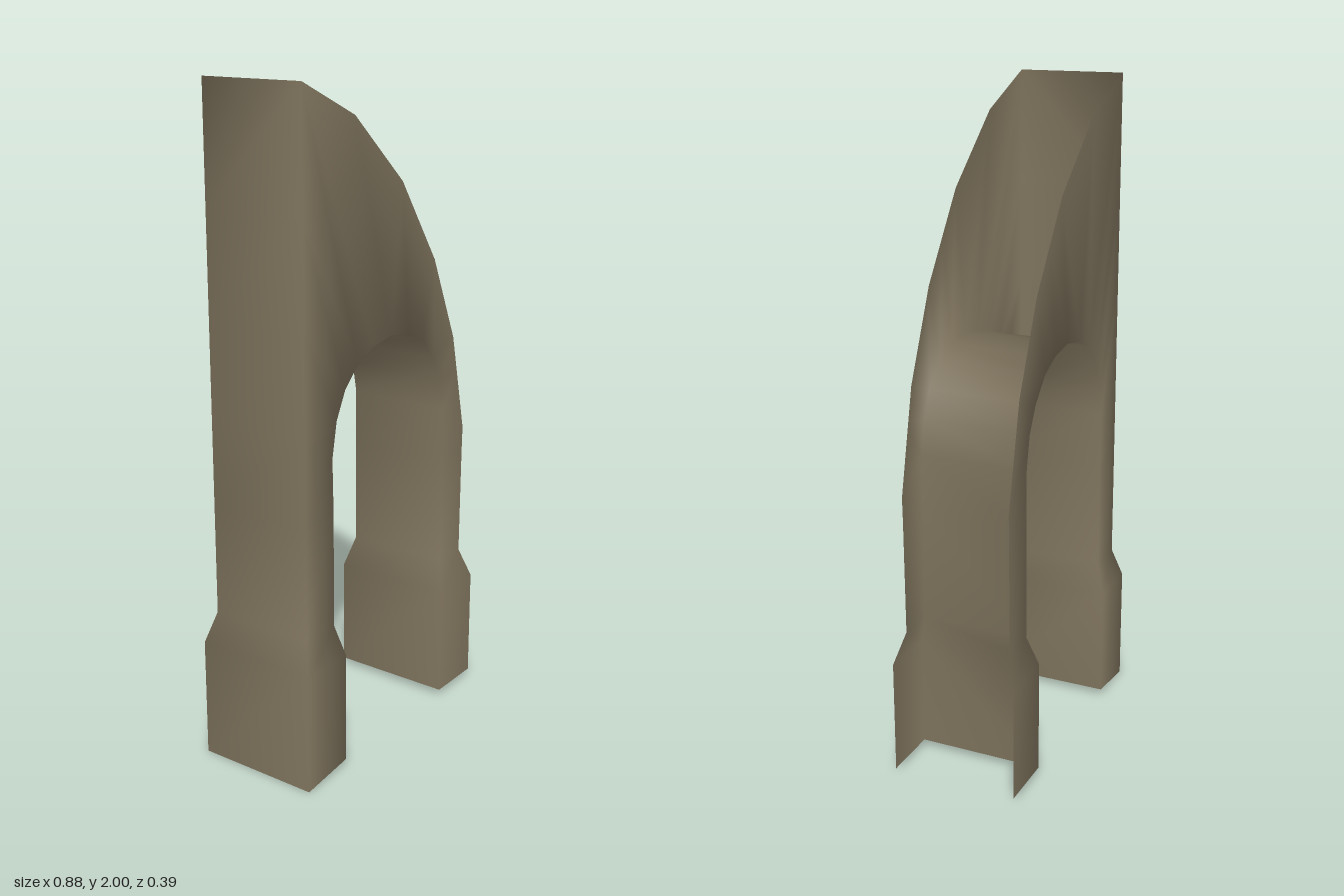
import * as THREE from 'three';

// Cross-sections along the arch, left foot to right foot:
// [inner x, inner y, outer x, outer y]
const SECTIONS = [
  [-0.26, 0.02, -0.44, 0],
  [-0.26, 0.365, -0.44, 0.365],
  [-0.28, 0.46, -0.41, 0.46],
  [-0.28, 0.80, -0.41, 0.80],
  [-0.285, 0.97, -0.41, 1.05],
  [-0.265, 1.075, -0.41, 1.35],
  [-0.225, 1.155, -0.41, 1.65],
  [-0.165, 1.215, -0.41, 2],
  [-0.09, 1.25, -0.18, 1.9],
  [0, 1.265, 0.05, 1.7],
  [0.09, 1.25, 0.1375, 1.575],
  [0.165, 1.215, 0.225, 1.45],
  [0.23, 1.145, 0.34, 1.19],
  [0.27, 1.07, 0.365, 1.08],
  [0.29, 0.97, 0.41, 0.88],
  [0.29, 0.80, 0.408, 0.80],
  [0.29, 0.46, 0.405, 0.46],
  [0.26, 0.365, 0.44, 0.365],
  [0.26, 0.02, 0.44, 0.02],
];
const WALL_TOP = 7; // section where the straight outer wall ends

function archShell() {
  const positions = [];
  const index = [];
  // Four corners per section: outer front, inner front, inner back, outer back
  for (const [ix, iy, ox, oy] of SECTIONS) {
    const z = iy < 0.4 ? 0.193 : 0.165; // feet flare out
    positions.push(ox, oy, z, ix, iy, z, ix, iy, -z, ox, oy, -z);
  }
  for (let i = 0; i < SECTIONS.length - 1; i++) {
    // front plate, arch underside, back plate, then the tall wall on one side only
    const sides = i < WALL_TOP ? 4 : 3;
    for (let j = 0; j < sides; j++) {
      const a = i * 4 + j;
      const b = i * 4 + (j + 1) % 4;
      index.push(a, b, b + 4, a, b + 4, a + 4);
    }
  }
  const geometry = new THREE.BufferGeometry();
  geometry.setAttribute('position', new THREE.Float32BufferAttribute(positions, 3));
  geometry.setIndex(index);
  geometry.computeVertexNormals();
  return geometry;
}

export function createModel() {
  const stone = new THREE.MeshStandardMaterial({ color: 0x7d725c, side: THREE.DoubleSide });
  stone.name = 'stone';

  const arch = new THREE.Mesh(archShell(), stone);
  arch.name = 'buttressArch';

  const model = new THREE.Group();
  model.name = 'halfArchButtress';
  model.add(arch);
  return model;
}
